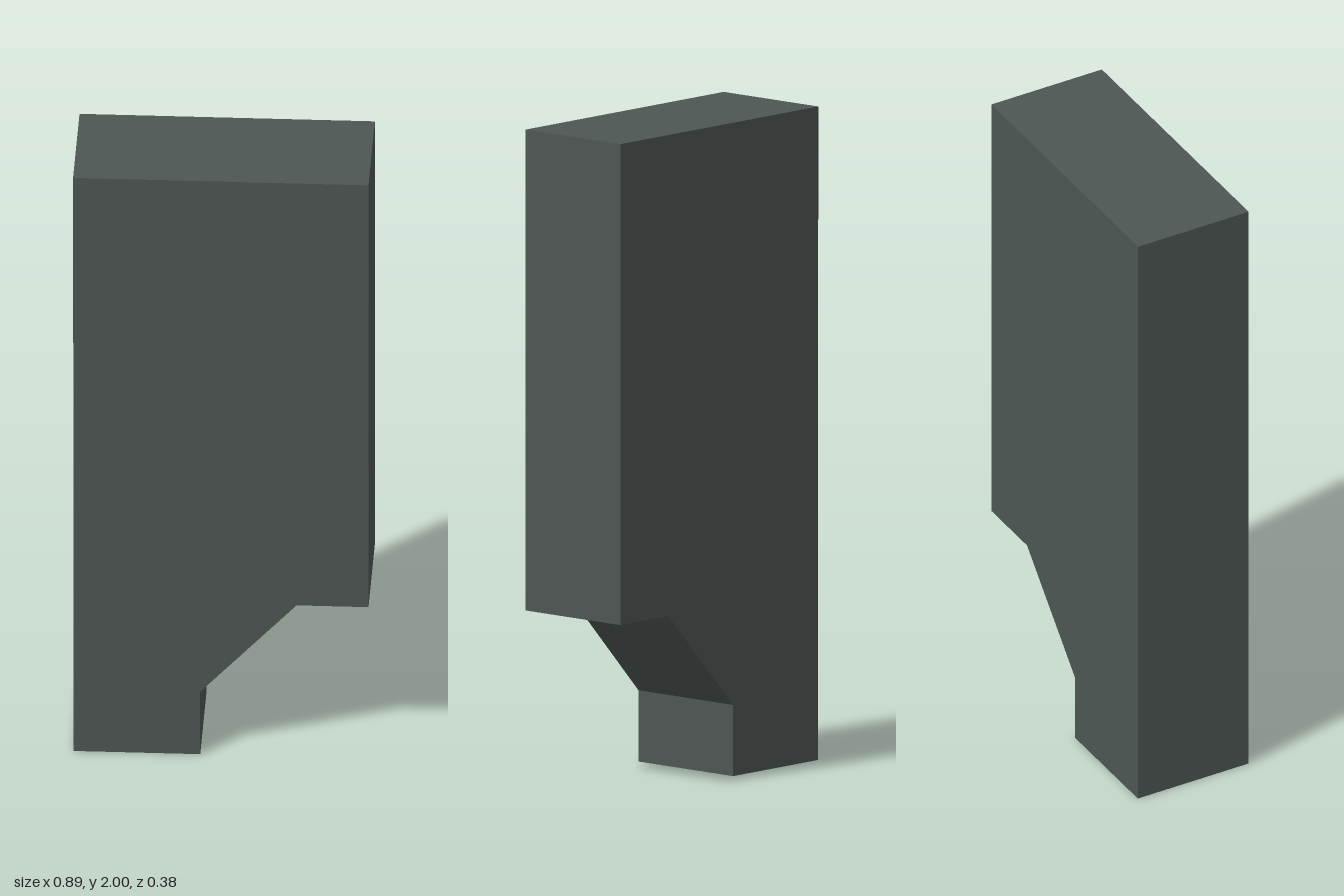
import * as THREE from 'three';

export function createModel() {
  const group = new THREE.Group();
  const slate = new THREE.MeshStandardMaterial({ color: 0x4d5653 });
  slate.name = 'slate grey';

  // Side outline: tall slab with a chamfered notch cut from the lower left corner
  const outline = new THREE.Shape([
    [-0.445, 0], [-0.063, 0], [-0.063, 0.218], [0.228, 0.528],
    [0.445, 0.528], [0.445, 2], [-0.447, 2],
  ].map(([x, y]) => new THREE.Vector2(x, y)));

  // Extruded through the depth and centred on z
  const depth = 0.384;
  const geometry = new THREE.ExtrudeGeometry(outline, { depth, bevelEnabled: false });
  geometry.translate(0, 0, -depth / 2);

  const slab = new THREE.Mesh(geometry, slate);
  slab.name = 'notchedSlab';
  group.add(slab);
  return group;
}
